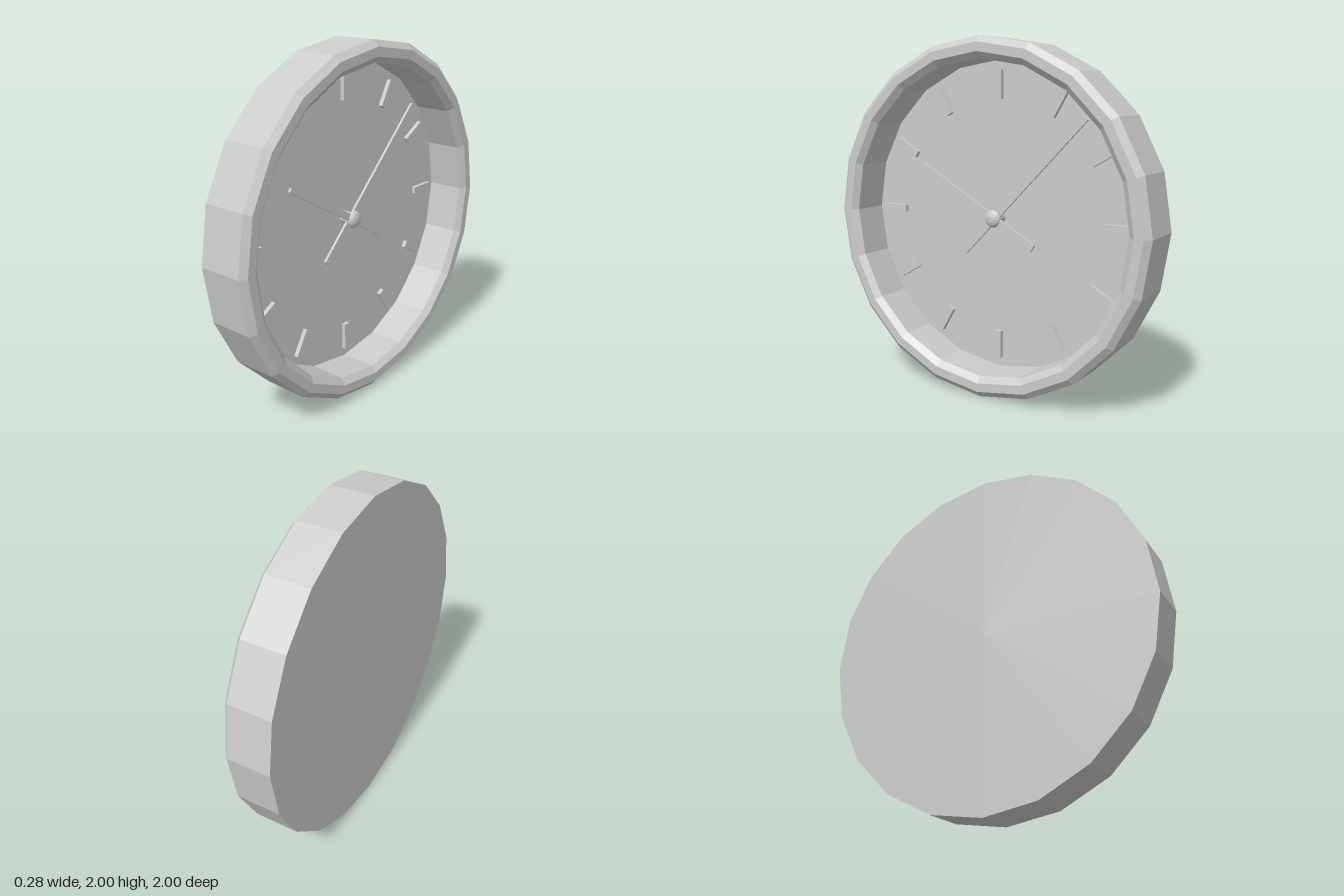
import * as THREE from 'three';

export function createModel() {
  const material = new THREE.MeshStandardMaterial({ color: 0xcccccc, flatShading: true });
  const model = new THREE.Group();
  model.name = 'wallClock';

  // The clock is built facing +z, then turned to face +x
  const clock = new THREE.Group();
  clock.name = 'clock';
  clock.position.y = 1;
  clock.rotation.y = Math.PI / 2;
  model.add(clock);

  function add(name, geometry, parent = clock) {
    const mesh = new THREE.Mesh(geometry, material);
    mesh.name = name;
    parent.add(mesh);
    return mesh;
  }

  // Turned part: profile of [radius, depth] pairs, from back to front
  function turned(profile, sides) {
    const points = profile.map(([r, d]) => new THREE.Vector2(r, d));
    return new THREE.LatheGeometry(points, sides).rotateX(Math.PI / 2);
  }

  // Case: back plate, outer wall, bevelled rim, inner wall and dial
  add('case', turned([
    [0, -0.14], [1, -0.14], [1, 0.11], [0.965, 0.14],
    [0.915, 0.14], [0.88, 0.11], [0.88, -0.1], [0, -0.1],
  ], 20));

  // Twelve hour markers
  const markers = new THREE.Group();
  markers.name = 'hourMarkers';
  clock.add(markers);
  for (let i = 0; i < 12; i++) {
    const geometry = new THREE.BoxGeometry(0.04, 0.16, 0.03);
    geometry.translate(0, 0.745, -0.09).rotateZ(-i * Math.PI / 6);
    add('hourMarker', geometry, markers);
  }

  // Tapered hand with a wide tail, pointing up before it is turned
  function addHand(name, tip, tail, tipWidth, tailWidth, depth, angle) {
    const shape = new THREE.Shape([
      new THREE.Vector2(-tailWidth / 2, -tail),
      new THREE.Vector2(tailWidth / 2, -tail),
      new THREE.Vector2(tipWidth / 2, tip),
      new THREE.Vector2(-tipWidth / 2, tip),
    ]);
    const geometry = new THREE.ExtrudeGeometry(shape, { depth: 0.015, bevelEnabled: false });
    const hand = add(name, geometry);
    hand.position.z = depth;
    hand.rotation.z = angle;
  }
  addHand('minuteHand', 0.8, 0.295, 0.012, 0.04, -0.055, -Math.PI / 4);
  addHand('hourHand', 0.58, 0.295, 0.024, 0.05, -0.035, Math.PI / 3);

  // Spindle with a domed cap
  add('spindle', turned([[0.035, -0.1], [0.035, -0.025]], 16));
  add('spindleCap', turned([
    [0, -0.025], [0.05, -0.025], [0.048, -0.015], [0.038, -0.004], [0.02, 0.003], [0, 0.005],
  ], 16));

  return model;
}
